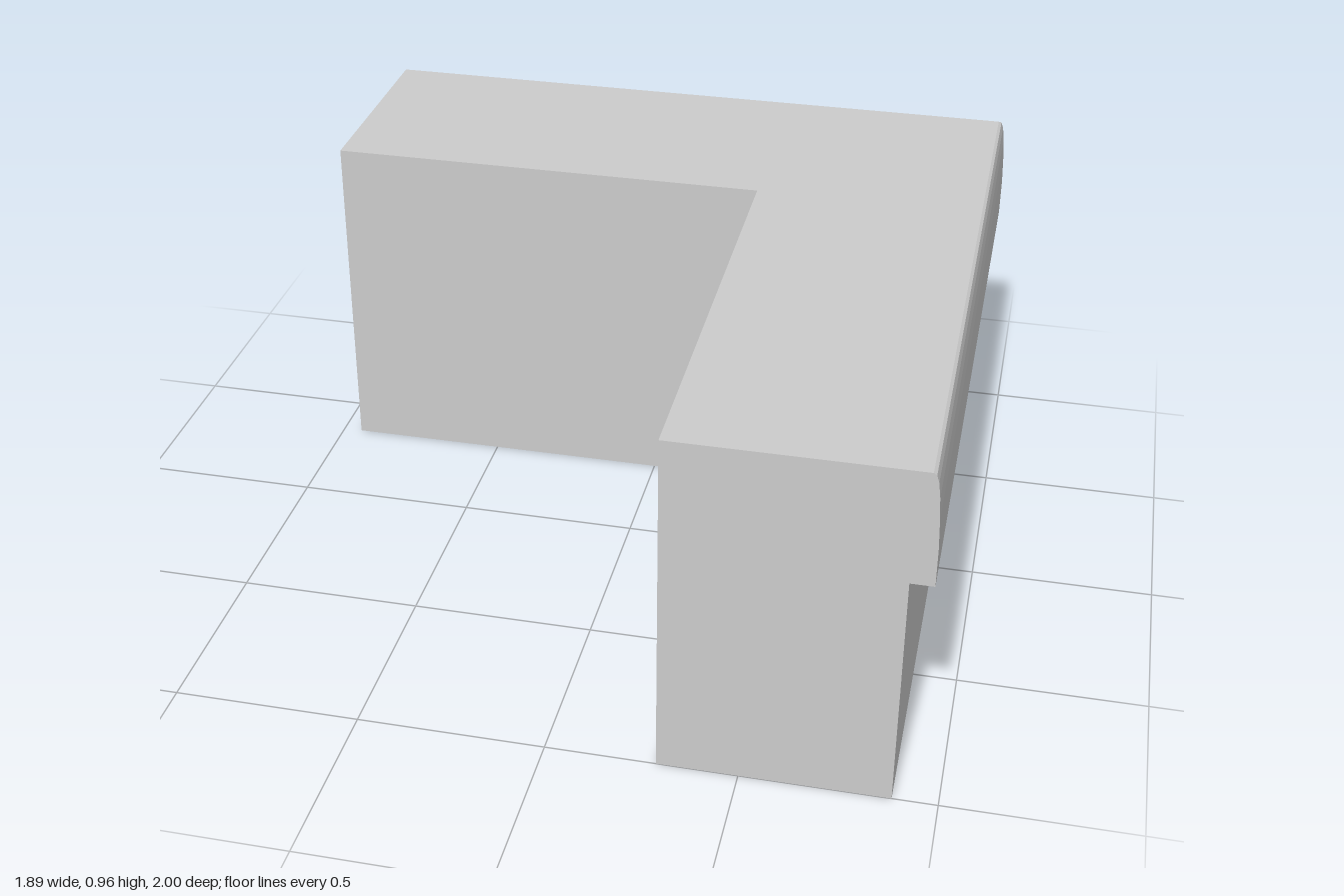
import * as THREE from 'three';

const HALF_X = 0.945, HALF_Z = 1;

// Cross-section: [distance in from the outer face, height], counter-clockwise
const PROFILE = [
  [0.655, 0], [0.06, 0], [0.06, 0.655], [0, 0.655], [0, 0.76],
  [0.003, 0.84], [0.007, 0.9], [0.012, 0.94], [0.018, 0.96], [0.026, 0.965],
  [0.655, 0.965],
];

// Stations along the L-shaped run: left end, mitred corner, front end
const STATIONS = [
  ([d, y]) => [-HALF_X, y, -HALF_Z + d],
  ([d, y]) => [HALF_X - d, y, -HALF_Z + d],
  ([d, y]) => [HALF_X - d, y, HALF_Z],
];

function sweepGeometry() {
  const rings = STATIONS.map((place) => PROFILE.map(place));
  const n = PROFILE.length;
  const positions = [];
  const tri = (a, b, c) => positions.push(...a, ...b, ...c);

  // Faces between neighbouring stations
  for (let s = 0; s < rings.length - 1; s++) {
    const a = rings[s], b = rings[s + 1];
    for (let i = 0; i < n; i++) {
      const j = (i + 1) % n;
      tri(a[i], a[j], b[j]);
      tri(a[i], b[j], b[i]);
    }
  }

  // End caps
  const contour = PROFILE.map(([d, y]) => new THREE.Vector2(-d, y));
  const first = rings[0], last = rings[rings.length - 1];
  for (const [i, j, k] of THREE.ShapeUtils.triangulateShape(contour, [])) {
    tri(last[i], last[j], last[k]);
    tri(first[i], first[k], first[j]);
  }

  const geometry = new THREE.BufferGeometry();
  geometry.setAttribute('position', new THREE.Float32BufferAttribute(positions, 3));
  geometry.computeVertexNormals();
  return geometry;
}

export function createModel() {
  const group = new THREE.Group();
  group.name = 'cornerLedge';
  const material = new THREE.MeshStandardMaterial({ color: 0xcccccc, flatShading: true });
  const wall = new THREE.Mesh(sweepGeometry(), material);
  wall.name = 'cornerWallWithRoundedLip';
  group.add(wall);
  return group;
}
